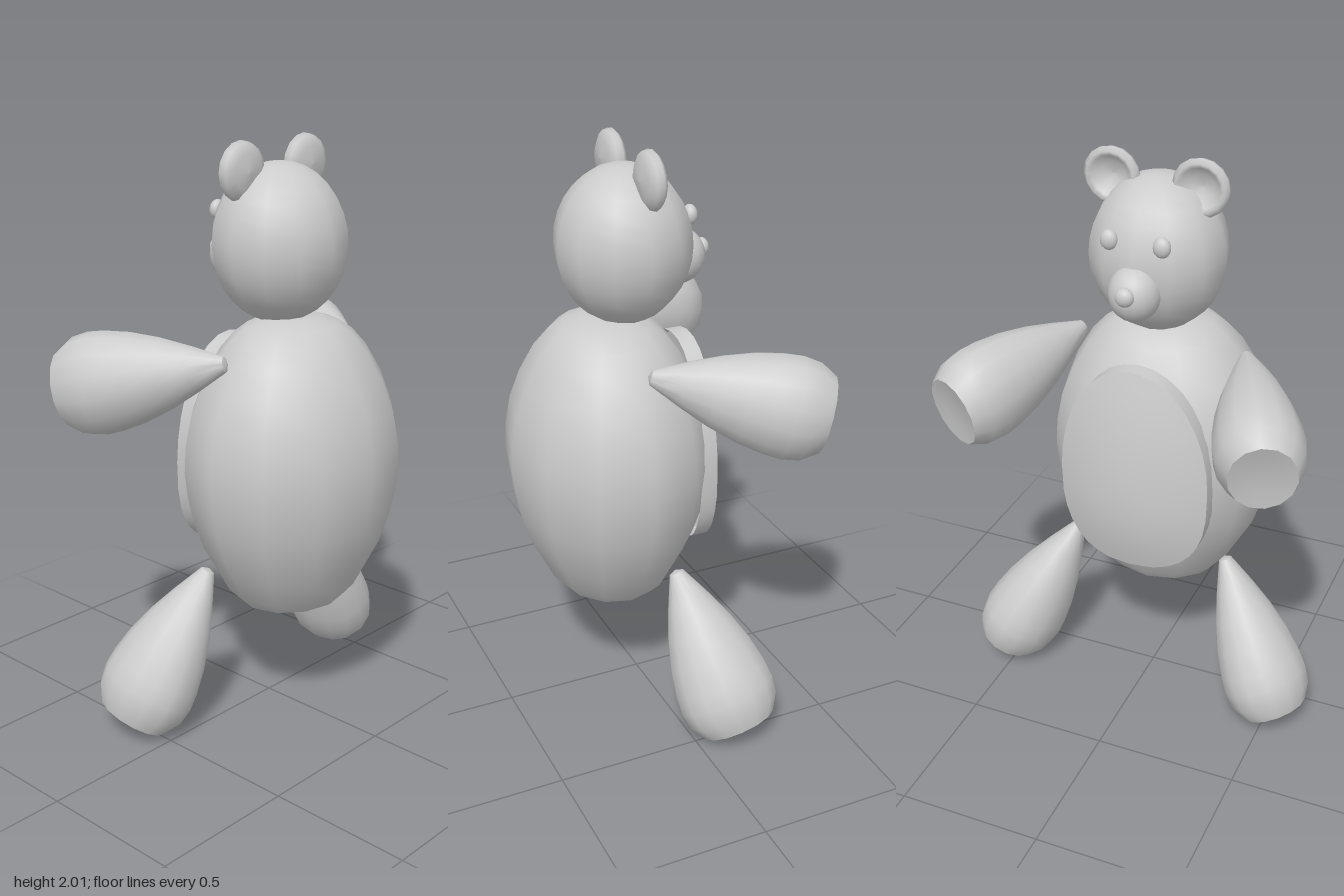
import * as THREE from 'three';
import { toCreasedNormals } from 'three/addons/utils/BufferGeometryUtils.js';

const material = new THREE.MeshStandardMaterial({ color: 0xcccccc });
const thinMaterial = new THREE.MeshStandardMaterial({ color: 0xcccccc, side: THREE.DoubleSide });

function part(group, name, geometry, mat = material) {
  const mesh = new THREE.Mesh(geometry, mat);
  mesh.name = name;
  group.add(mesh);
  return mesh;
}

function lathe(points, segments) {
  return new THREE.LatheGeometry(points.map(([r, y]) => new THREE.Vector2(r, y)), segments);
}

function ellipsoid(group, name, position, radii, segments = 12) {
  const mesh = part(group, name, new THREE.SphereGeometry(1, segments, 16));
  mesh.position.set(...position);
  mesh.scale.set(...radii);
  return mesh;
}

// Tapered limb: pointed joint at the origin, flat slightly dished pad at the far end of +y
function limbGeometry() {
  const profile = [
    [0, -0.02], [0.026, -0.01], [0.038, 0.015], [0.078, 0.1], [0.12, 0.2], [0.152, 0.3],
    [0.17, 0.39], [0.175, 0.45], [0.166, 0.51], [0.13, 0.568], [0.07, 0.56], [0, 0.557],
  ];
  const geometry = toCreasedNormals(lathe(profile, 14), 0.75);
  geometry.scale(0.86, 1, 1);
  return geometry;
}

// Places a limb so that it runs from its joint towards the pad
function addLimb(group, name, geometry, joint, pad) {
  const start = new THREE.Vector3(...joint);
  const along = new THREE.Vector3(...pad).sub(start).normalize();
  const side = new THREE.Vector3(1, 0, 0).addScaledVector(along, -along.x).normalize();
  const depth = new THREE.Vector3().crossVectors(side, along);
  const mesh = part(group, name, geometry);
  mesh.quaternion.setFromRotationMatrix(new THREE.Matrix4().makeBasis(side, along, depth));
  mesh.position.copy(start);
}

// Curved tummy panel: rings growing to the outline, then a rim turned into the body
function bellyGeometry() {
  const around = 32, rings = 6, middle = 0.9;
  const positions = [], index = [];
  for (let i = 0; i <= rings + 1; i++) {
    const f = Math.min(i / rings, 1);
    for (let j = 0; j < around; j++) {
      const a = (j / around) * Math.PI * 2;
      const c = Math.cos(a), s = Math.sin(a);
      const power = s < 0 ? 0.72 : 1;
      const x = f * 0.27 * Math.sign(c) * Math.abs(c) ** power;
      const y = middle + f * (s < 0 ? 0.33 : 0.42) * Math.sign(s) * Math.abs(s) ** power;
      const bend = (y < 0.85 ? 0.57 : 0.3) * (y - 0.85) ** 2;
      const z = -0.257 + bend + 1.03 * x * x;
      positions.push(x, y, z + (i > rings ? 0.06 : 0));
    }
  }
  for (let i = 0; i <= rings; i++) {
    for (let j = 0; j < around; j++) {
      const k = (j + 1) % around;
      const a = i * around + j, b = i * around + k;
      const c = a + around, d = b + around;
      if (i > 0) index.push(a, b, c);
      index.push(b, d, c);
    }
  }
  const geometry = new THREE.BufferGeometry();
  geometry.setAttribute('position', new THREE.Float32BufferAttribute(positions, 3));
  geometry.setIndex(index);
  return toCreasedNormals(geometry, 0.7);
}

export function createModel() {
  const model = new THREE.Group();
  model.name = 'teddyBear';

  // Egg-shaped body with a flat base
  const bodyProfile = [
    [0, 0.42], [0.2, 0.42], [0.24, 0.46], [0.29, 0.55], [0.335, 0.63], [0.37, 0.73], [0.39, 0.82],
    [0.4, 0.91], [0.395, 1.0], [0.375, 1.1], [0.335, 1.2], [0.275, 1.3], [0.22, 1.36],
    [0.17, 1.395], [0.1, 1.417], [0, 1.42],
  ];
  const body = part(model, 'body', toCreasedNormals(lathe(bodyProfile, 12), 0.8));
  body.position.z = 0.11;
  body.scale.z = 0.875;

  part(model, 'bellyPanel', bellyGeometry(), thinMaterial);

  // Head and muzzle, facing -z
  ellipsoid(model, 'head', [0, 1.658, 0.047], [0.233, 0.267, 0.23]);
  ellipsoid(model, 'muzzle', [0, 1.59, -0.155], [0.087, 0.095, 0.09], 16);
  ellipsoid(model, 'nose', [0, 1.608, -0.238], [0.032, 0.032, 0.026], 16);

  const limb = limbGeometry();
  const ear = lathe([
    [0, 0.038], [0.04, 0.032], [0.068, 0.008], [0.083, 0], [0.098, 0.015],
    [0.092, 0.036], [0.06, 0.054], [0, 0.06],
  ], 16);
  ear.rotateX(Math.PI / 2);

  // Mirrored parts
  for (const [side, s] of [['left', 1], ['right', -1]]) {
    ellipsoid(model, side + 'Eye', [s * 0.09, 1.755, -0.15], [0.03, 0.034, 0.024], 12);
    part(model, side + 'Ear', ear).position.set(s * 0.153, 1.902, 0);
    addLimb(model, side + 'Arm', limb, [s * 0.305, 1.305, 0.075], [s * 0.535, 1.18, -0.42]);
    addLimb(model, side + 'Leg', limb, [s * 0.29, 0.54, -0.025], [s * 0.53, 0.06, -0.145]);
  }
  return model;
}
